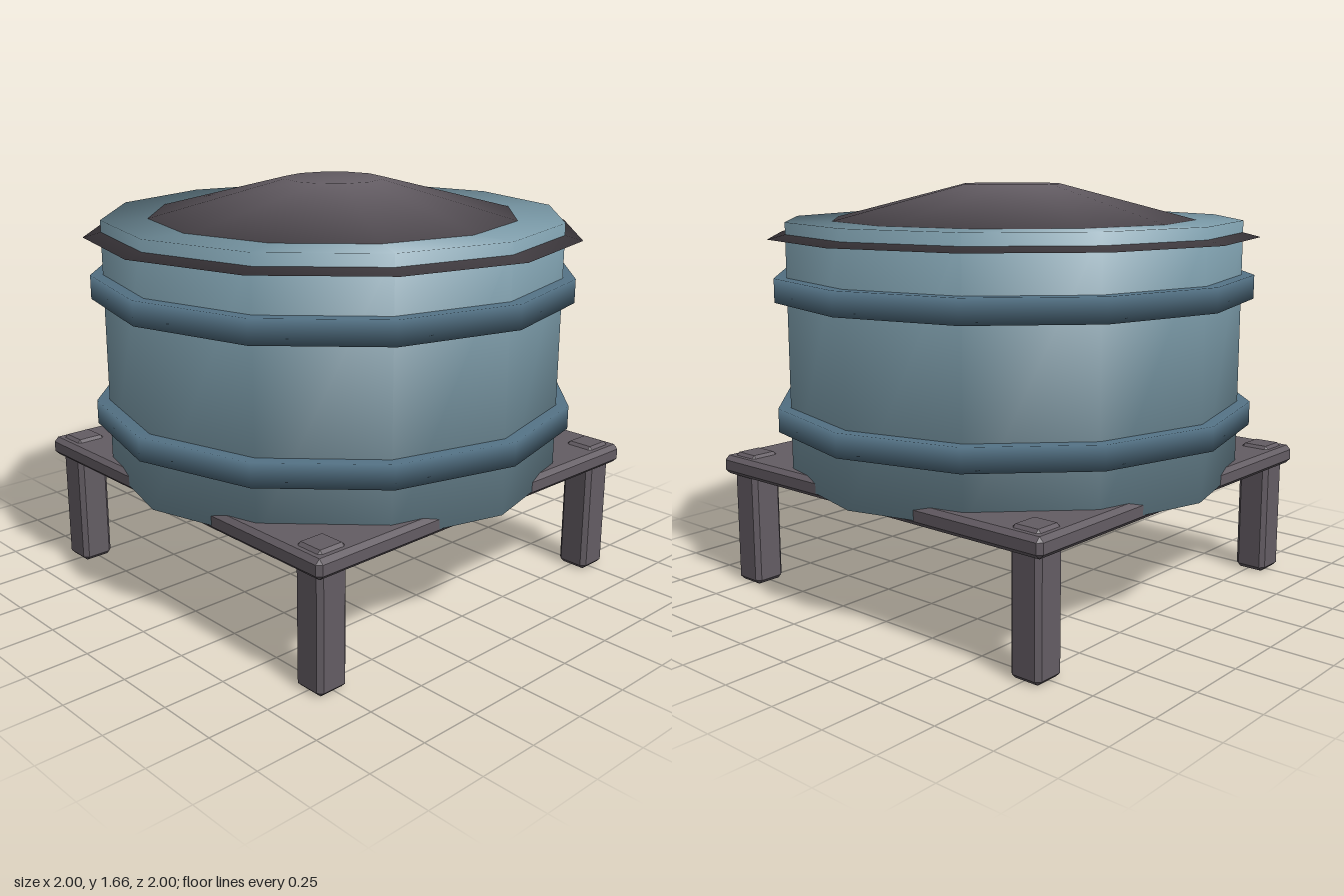
import * as THREE from 'three';
import { mergeVertices } from 'three/addons/utils/BufferGeometryUtils.js';
import { ConvexGeometry } from 'three/addons/geometries/ConvexGeometry.js';

const SIDES = 12;

function paint(name, color) {
  const material = new THREE.MeshStandardMaterial({ color });
  material.name = name;
  return material;
}

// Twelve-sided capped drum between two heights, with normals smoothed over all its edges
function drum(topRadius, bottomRadius, y0, y1) {
  const geometry = new THREE.CylinderGeometry(topRadius, bottomRadius, y1 - y0, SIDES);
  geometry.translate(0, (y0 + y1) / 2, 0);
  geometry.deleteAttribute('uv');
  geometry.deleteAttribute('normal');
  const smooth = mergeVertices(geometry, 1e-4);
  smooth.computeVertexNormals();
  return smooth;
}

// Box with every edge cut by a flat chamfer
function chamferBox(width, height, depth, cut) {
  const half = [width / 2, height / 2, depth / 2];
  const points = [];
  for (const sx of [-1, 1]) for (const sy of [-1, 1]) for (const sz of [-1, 1]) {
    for (let face = 0; face < 3; face++) {
      const [x, y, z] = half.map((h, axis) => (axis === face ? h : h - cut));
      points.push(new THREE.Vector3(sx * x, sy * y, sz * z));
    }
  }
  return new ConvexGeometry(points);
}

export function createModel() {
  const model = new THREE.Group();
  model.name = 'barrelOnStand';
  const blue = paint('barrelBlue', 0x7a9aa8);
  const hoopBlue = paint('hoopBlue', 0x537184);
  const grey = paint('warmGrey', 0x645d64);

  function add(name, geometry, material, x = 0, y = 0, z = 0) {
    const mesh = new THREE.Mesh(geometry, material);
    mesh.name = name;
    mesh.position.set(x, y, z);
    model.add(mesh);
  }

  // Barrel with two hoops
  add('barrel', drum(0.93, 0.93, 0.487, 1.52), blue);
  add('lowerHoop', drum(0.98, 0.98, 0.695, 0.79), hoopBlue);
  add('upperHoop', drum(0.98, 0.98, 1.21, 1.305), hoopBlue);

  // Shallow conical lid: its rim shows below the barrel's top edge, its crown above
  add('lid', drum(0.2, 1, 1.455, 1.66), grey);

  // Square platform, with legs whose ends stand just proud of it
  add('platform', chamferBox(1.716, 0.078, 1.716, 0.018), grey, 0, 0.504, 0);
  const leg = chamferBox(0.136, 0.555, 0.136, 0.018);
  for (const sx of [-1, 1]) for (const sz of [-1, 1]) {
    add(`${sz > 0 ? 'front' : 'back'}${sx > 0 ? 'Left' : 'Right'}Leg`, leg, grey, sx * 0.76, 0.2775, sz * 0.76);
  }
  return model;
}
